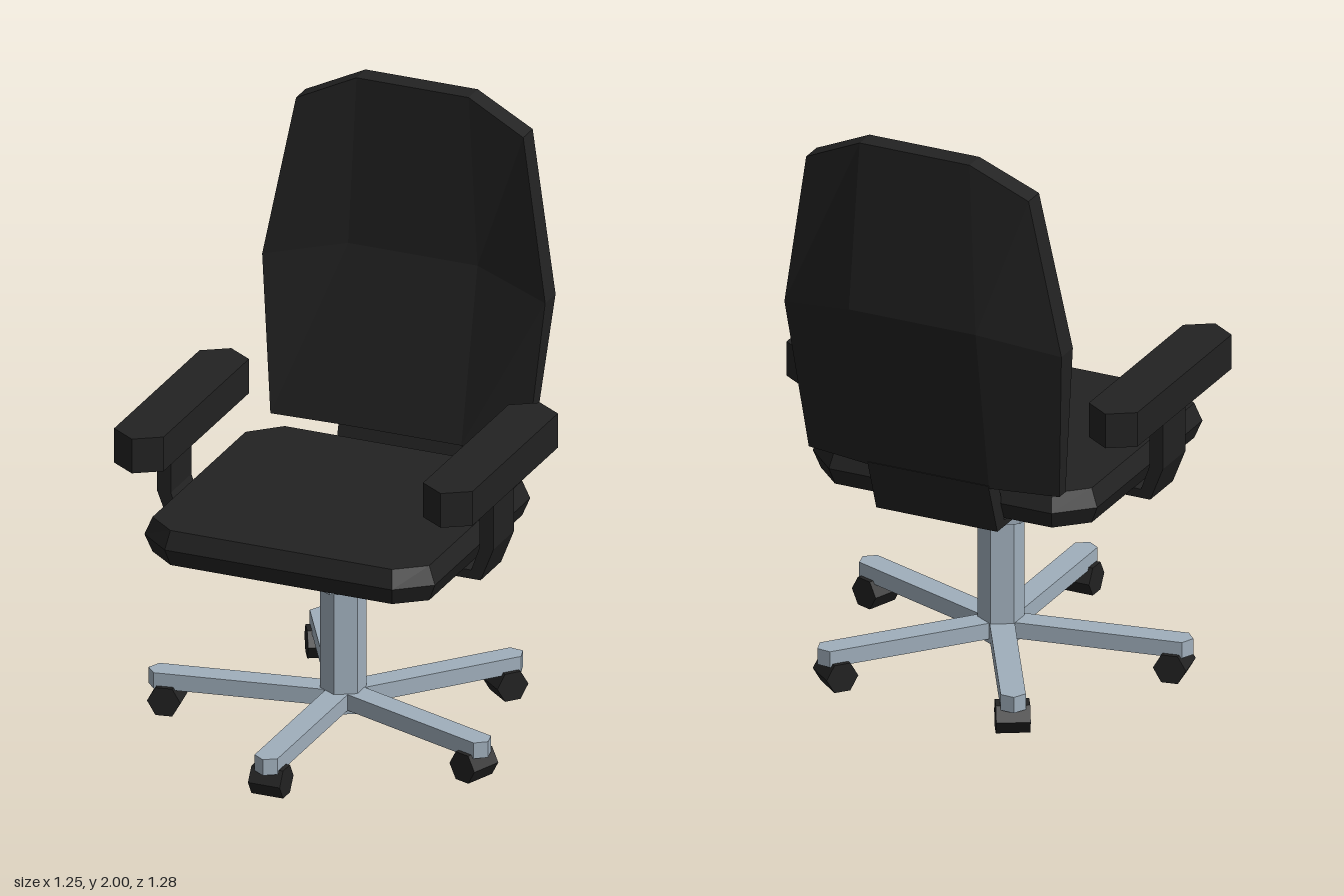
import * as THREE from 'three';

const black = new THREE.MeshStandardMaterial({ color: 0x222222, flatShading: true });
black.name = 'black upholstery';
const steel = new THREE.MeshStandardMaterial({ color: 0xa0afbc, flatShading: true });
steel.name = 'brushed steel';

function mesh(name, geometry, material) {
  const m = new THREE.Mesh(geometry, material);
  m.name = name;
  return m;
}

// Solid through stacked rings of [x, y, z], lowest first, each counterclockwise from above
function loft(rings) {
  const pos = [], n = rings[0].length;
  const quad = (a, b, c, d) => pos.push(...a, ...b, ...c, ...a, ...c, ...d);
  for (let r = 0; r < rings.length - 1; r++) {
    const lo = rings[r], hi = rings[r + 1];
    for (let i = 0; i < n; i++) {
      const j = (i + 1) % n;
      quad(lo[i], lo[j], hi[j], hi[i]);
    }
  }
  const bottom = rings[0], top = rings[rings.length - 1];
  for (let i = 0; i < n / 2 - 1; i++) {
    const k = [i, i + 1, n - 2 - i, n - 1 - i];
    quad(...k.map((v) => top[v]));
    quad(...k.reverse().map((v) => bottom[v]));
  }
  const g = new THREE.BufferGeometry();
  g.setAttribute('position', new THREE.Float32BufferAttribute(pos, 3));
  g.computeVertexNormals();
  return g;
}

// Upright prism over an [x, z] outline
const prism = (outline, y0, y1) => loft([y0, y1].map((y) => outline.map(([x, z]) => [x, y, z])));

function extrude(points, depth) {
  const shape = new THREE.Shape(points.map(([x, y]) => new THREE.Vector2(x, y)));
  return new THREE.ExtrudeGeometry(shape, { depth, bevelEnabled: false });
}

// Seat cushion: chamfered outline, widest at mid height
function seatGeometry() {
  const ring = (y, inset) => {
    const w = 0.505 - inset, f = 0.515 - inset, b = -0.437 + inset, c = 0.395 - inset * 0.4;
    const zf = 0.425 - inset * 0.4, zb = -0.33 + inset * 0.4;
    return [[-c, f], [c, f], [w, zf], [w, zb], [c, b], [-c, b], [-w, zb], [-w, zf]]
      .map(([x, z]) => [x, y, z]);
  };
  return loft([ring(0.69, 0.024), ring(0.75, 0), ring(0.81, 0.024)]);
}

// Backrest: wraps forward at its side edges
function backrestGeometry() {
  const row = (ye, yc, e, c, frontEdge, frontMid, backEdge, backMid) => [
    [-e, ye, frontEdge], [-c, yc, frontMid], [c, yc, frontMid], [e, ye, frontEdge],
    [e, ye, backEdge], [c, yc, backMid], [-c, yc, backMid], [-e, ye, backEdge],
  ];
  return loft([
    row(0.835, 0.835, 0.445, 0.215, -0.436, -0.445, -0.48, -0.52),
    row(1.365, 1.42, 0.492, 0.225, -0.478, -0.55, -0.56, -0.637),
    row(1.905, 2.0, 0.395, 0.195, -0.525, -0.548, -0.6, -0.62),
  ]);
}

export function createModel() {
  const chair = new THREE.Group();
  chair.name = 'officeChair';

  chair.add(mesh('seat', seatGeometry(), black));
  chair.add(mesh('backrest', backrestGeometry(), black));

  // Bent plate joining seat and backrest, drawn in side profile
  const plate = extrude(
    [[-0.14, 0.66], [0.46, 0.66], [0.525, 0.845], [0.455, 0.845], [0.41, 0.681], [-0.14, 0.681]], 0.43);
  plate.rotateY(Math.PI / 2).translate(-0.215, 0, 0);
  chair.add(mesh('backSupport', plate, black));

  // One U-shaped strap carries both armrests
  const outer = [[0.585, 0.975], [0.585, 0.775], [0.54, 0.66]];
  const inner = [[0.507, 0.69], [0.537, 0.775], [0.537, 0.975]];
  const flip = (pts) => pts.map(([x, y]) => [-x, y]).reverse();
  const strap = extrude([...outer, ...flip(outer), ...flip(inner), ...inner], 0.163);
  strap.translate(0, 0, -0.02);
  chair.add(mesh('armSupport', strap, black));

  // Armrest pads
  const pad = prism([[0, 0.452], [0.086, 0.396], [0.086, -0.28], [0, -0.336], [-0.086, -0.28], [-0.086, 0.396]],
    0.966, 1.085);
  for (const side of [1, -1]) {
    const arm = mesh(side > 0 ? 'leftArmrest' : 'rightArmrest', pad, black);
    arm.position.x = side * 0.537;
    chair.add(arm);
  }

  // Six-sided gas lift
  const column = mesh('column', new THREE.CylinderGeometry(0.075, 0.075, 0.45, 6), steel);
  column.position.y = 0.295;
  const collar = mesh('collar', new THREE.CylinderGeometry(0.11, 0.11, 0.17, 6), steel);
  collar.position.y = 0.585;
  chair.add(column, collar);

  // Five-legged base with casters, 70 degrees apart
  const legGeo = prism([[0, 0.638], [0.04, 0.612], [0.04, 0], [0, -0.02], [-0.04, 0], [-0.04, 0.612]], 0.085, 0.14);
  const wheelGeo = new THREE.CylinderGeometry(0.055, 0.055, 0.11, 6).rotateZ(Math.PI / 2);
  for (let i = 0; i < 5; i++) {
    const leg = new THREE.Group();
    leg.name = 'baseLeg';
    const wheel = mesh('caster', wheelGeo, black);
    wheel.position.set(0, 0.048, 0.575);
    leg.add(mesh('legBar', legGeo, steel), wheel);
    leg.rotation.y = THREE.MathUtils.degToRad(70 * i);
    chair.add(leg);
  }
  return chair;
}
